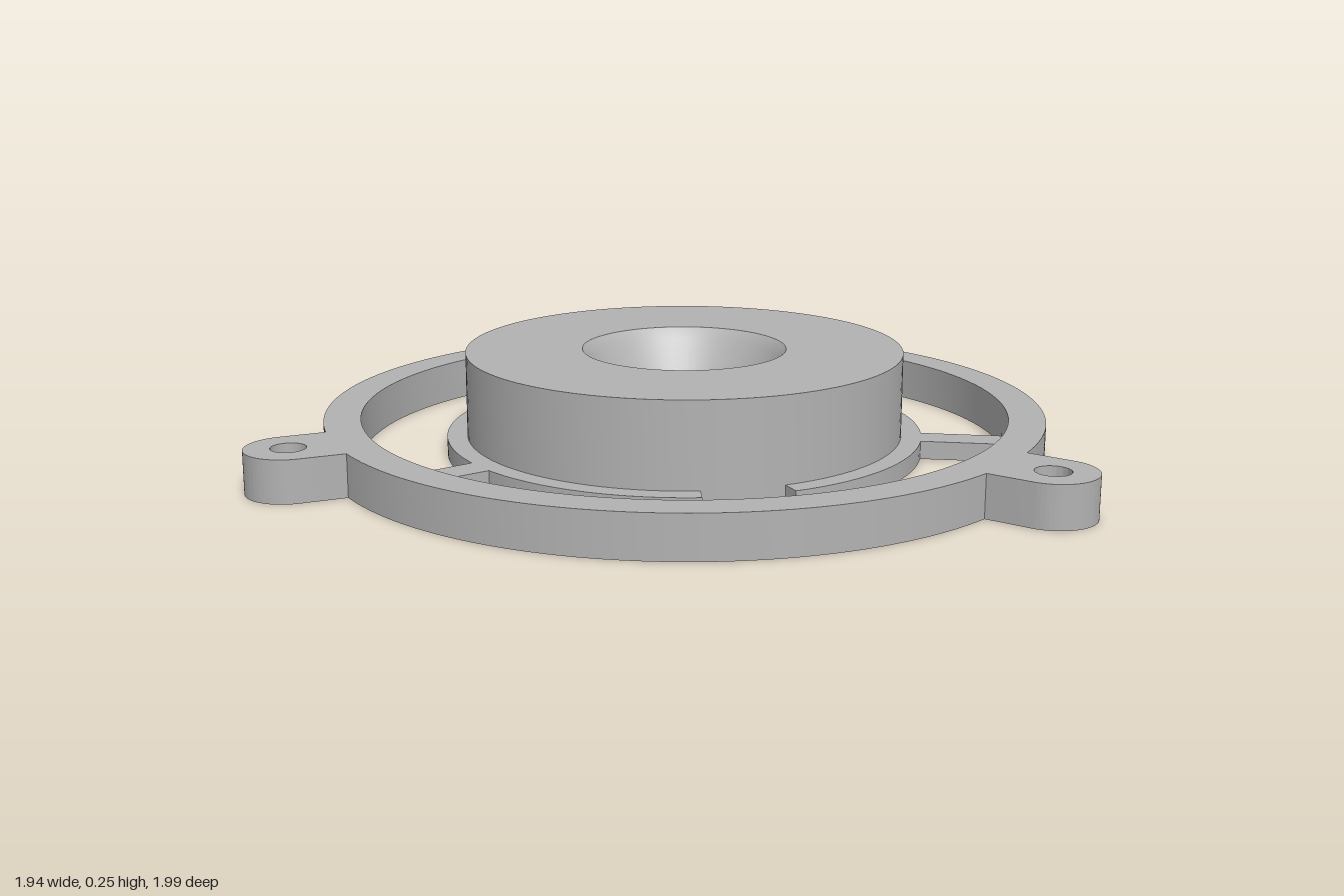
import * as THREE from 'three';
import { toCreasedNormals } from 'three/addons/utils/BufferGeometryUtils.js';

const RING_H = 0.105, FLANGE_H = 0.045, DRUM_H = 0.255;
const RING_OUT = 0.895, RING_IN = 0.805, FLANGE_R = 0.595, DRUM_R = 0.545;
const rad = THREE.MathUtils.degToRad;

// Extrude a plan outline (shape y becomes z) upward from y = 0
function plate(shape, height) {
  const g = new THREE.ExtrudeGeometry(shape, { depth: height, bevelEnabled: false, curveSegments: 64 });
  g.rotateX(Math.PI / 2).translate(0, height, 0);
  return toCreasedNormals(g, rad(30));
}

function circleHole(x, y, r) {
  const p = new THREE.Path();
  p.absarc(x, y, r, 0, Math.PI * 2, true);
  return p;
}

// Outer ring outline with a rounded lug at each of the given angles
function ringShape(lugAngles) {
  const lugR = 0.104, reach = 1.0;
  const half = Math.asin(lugR / RING_OUT);
  const s = new THREE.Shape();
  lugAngles.forEach((a, i) => {
    const next = lugAngles[(i + 1) % 3] + (i === 2 ? Math.PI * 2 : 0);
    const x = reach * Math.cos(a), y = reach * Math.sin(a);
    s.absarc(x, y, lugR, a - Math.PI / 2, a + Math.PI / 2, false);
    s.absarc(0, 0, RING_OUT, a + half, next - half, false);
    s.holes.push(circleHole(x, y, 0.042));
  });
  s.closePath();
  s.holes.push(circleHole(0, 0, RING_IN));
  return s;
}

export function createModel() {
  const model = new THREE.Group();
  model.name = 'ringMount';
  const grey = new THREE.MeshStandardMaterial({ color: 0xb2b2b2 });
  grey.name = 'grey';

  // The ring centre sits off the origin because the lugs are uneven
  const body = new THREE.Group();
  body.name = 'body';
  body.position.set(0.045, 0, 0.1);
  model.add(body);

  const add = (name, geometry) => {
    const m = new THREE.Mesh(geometry, grey);
    m.name = name;
    body.add(m);
    return m;
  };

  // Outer ring with three screw lugs
  const lugs = [[0.815, 0.58], [-0.915, 0.41], [0.095, -1]].map(([x, z]) => {
    const a = Math.atan2(z, x);
    return a < 0 ? a + Math.PI * 2 : a;
  });
  add('outerRingWithLugs', plate(ringShape(lugs), RING_H));

  // Drum with a chamfered, tapered bore
  const profile = [[0.135, 0], [DRUM_R, 0], [DRUM_R, DRUM_H], [0.255, DRUM_H], [0.232, 0.23], [0.135, 0]]
    .map(([x, y]) => new THREE.Vector2(x, y));
  add('drum', toCreasedNormals(new THREE.LatheGeometry(profile, 128), rad(25)));

  // Thin flange around the drum, open at the cable notch
  const flange = new THREE.Shape();
  const from = rad(86), to = rad(65 + 360);
  flange.absarc(0, 0, FLANGE_R, from, to, false);
  flange.absarc(0, 0, DRUM_R - 0.003, to, from, true);
  flange.closePath();
  add('flange', plate(flange, FLANGE_H));

  // Three spokes joining flange and ring
  const inner = FLANGE_R - 0.015, outer = RING_IN + 0.01;
  for (const deg of [7.4, 143.4, 255.6]) {
    const g = new THREE.BoxGeometry(outer - inner, FLANGE_H, 0.08);
    g.translate((inner + outer) / 2, FLANGE_H / 2, 0);
    add('spoke', g).rotation.y = -rad(deg);
  }
  return model;
}
